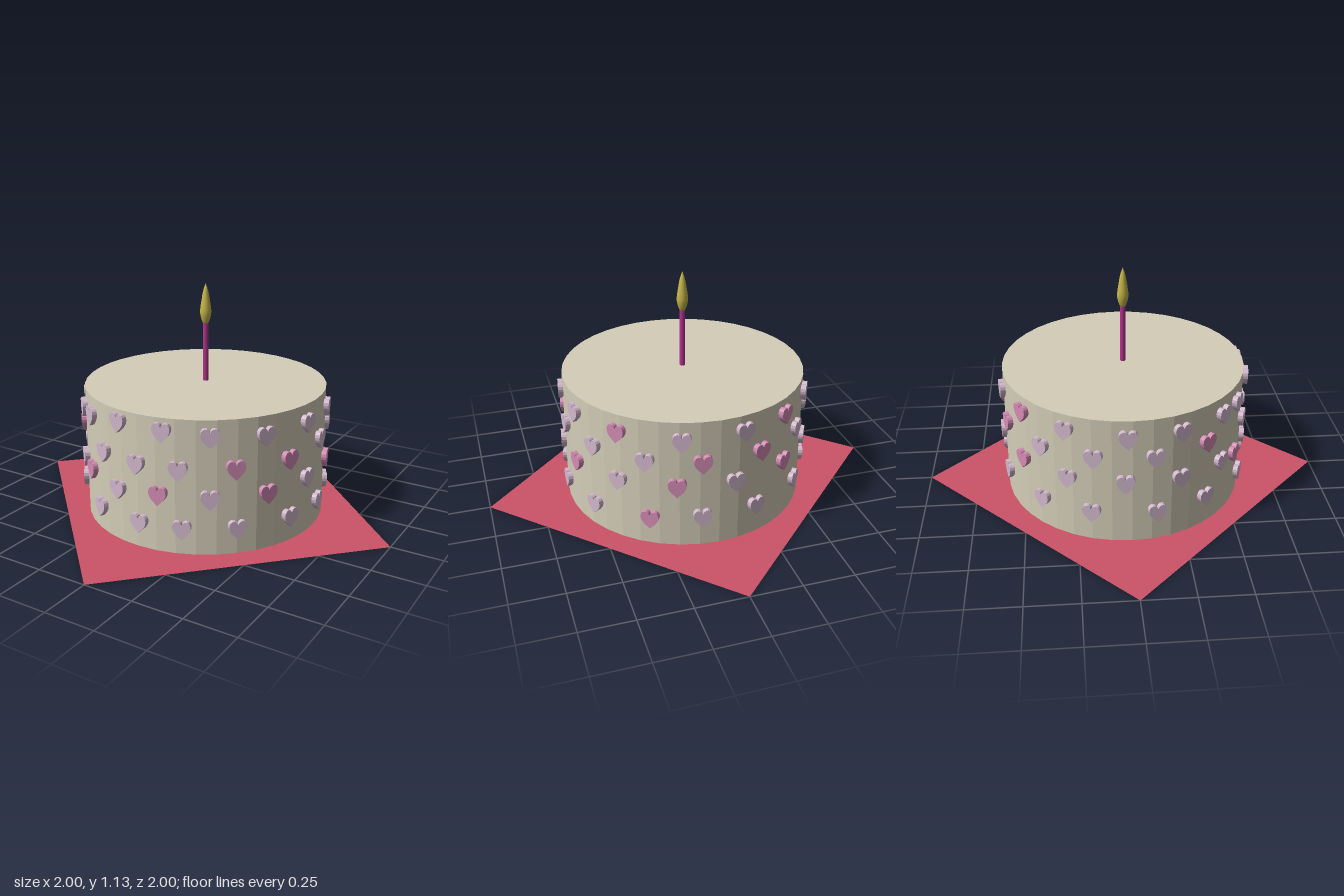
import * as THREE from 'three';

const CAKE_RADIUS = 0.595;
const CAKE_HEIGHT = 0.65;

function part(name, geometry, color, options = {}) {
  const mesh = new THREE.Mesh(geometry, new THREE.MeshStandardMaterial({ color, ...options }));
  mesh.name = name;
  return mesh;
}

// Heart outline about 0.086 wide and 0.09 tall, centred on the origin
function heartGeometry() {
  const s = new THREE.Shape();
  s.moveTo(0, -0.045);
  s.bezierCurveTo(0.012, -0.03, 0.043, -0.012, 0.043, 0.018);
  s.bezierCurveTo(0.043, 0.053, 0.005, 0.054, 0, 0.027);
  s.bezierCurveTo(-0.005, 0.054, -0.043, 0.053, -0.043, 0.018);
  s.bezierCurveTo(-0.043, -0.012, -0.012, -0.03, 0, -0.045);
  return new THREE.ExtrudeGeometry(s, { depth: 0.04, bevelEnabled: false, curveSegments: 6 });
}

// Rows of hearts: [angle from the front in degrees, height, 1 if pink]
const HEART_ROWS = [
  [[-68, 0.56], [-44, 0.56], [-31, 0.56], [-9.5, 0.59], [12.5, 0.585], [33, 0.57], [57.5, 0.555],
    [82, 0.56], [107, 0.56], [134, 0.56, 1], [163, 0.555], [191, 0.57], [215, 0.57, 1], [240, 0.57], [268, 0.56]],
  [[-54, 0.455, 1], [-20, 0.415], [0, 0.41], [19.5, 0.41], [44, 0.415, 1], [70.5, 0.415, 1], [95, 0.44],
    [120, 0.44], [147, 0.44], [172, 0.44, 1], [200, 0.44, 1], [227, 0.44], [253, 0.45], [280, 0.45]],
  [[-68, 0.315], [-44, 0.305], [-32, 0.285, 1], [-10.5, 0.26], [10.5, 0.28, 1], [33, 0.275], [59, 0.275, 1],
    [83, 0.285], [107, 0.295, 1], [134, 0.31], [161, 0.32, 1], [187, 0.32], [215, 0.32, 1], [241, 0.32], [267, 0.325]],
  [[-54, 0.155], [-23.5, 0.125], [1, 0.125], [21, 0.125], [45, 0.125], [71.5, 0.125], [94, 0.125],
    [120, 0.125], [149, 0.14, 1], [172, 0.155], [198, 0.155], [227, 0.155], [252, 0.155], [281, 0.155]],
];

export function createModel() {
  const model = new THREE.Group();
  model.name = 'birthdayCake';

  // Flat square cloth, turned so its corners lie on the axes
  const cloth = part('cloth', new THREE.CircleGeometry(1, 4).rotateX(-Math.PI / 2), 0xcc5468, { side: THREE.DoubleSide });
  model.add(cloth);

  // Faceted cake body, just above the cloth
  const cake = part('cake', new THREE.CylinderGeometry(CAKE_RADIUS, CAKE_RADIUS, CAKE_HEIGHT - 0.002, 40), 0xd4cdb8, { flatShading: true });
  cake.position.y = CAKE_HEIGHT / 2 + 0.001;
  model.add(cake);

  // Heart decorations around the side
  const hearts = new THREE.Group();
  hearts.name = 'hearts';
  const geometry = heartGeometry();
  for (const row of HEART_ROWS) {
    for (const [degrees, y, pink] of row) {
      const a = THREE.MathUtils.degToRad(degrees);
      const heart = part('heart', geometry, pink ? 0xd48cb4 : 0xd2b8cc, { flatShading: true });
      const r = CAKE_RADIUS - 0.018;
      heart.position.set(Math.sin(a) * r, y, Math.cos(a) * r);
      heart.rotation.y = a;
      hearts.add(heart);
    }
  }
  model.add(hearts);

  // Candle
  const candle = part('candle', new THREE.CylinderGeometry(0.013, 0.013, 0.3, 16), 0xb0328c);
  candle.position.y = CAKE_HEIGHT + 0.14;
  model.add(candle);

  // Teardrop flame
  const profile = new THREE.SplineCurve([
    [0, 0.935], [0.014, 0.942], [0.025, 0.975], [0.027, 1.005], [0.021, 1.05], [0.012, 1.1], [0, 1.135],
  ].map(([x, y]) => new THREE.Vector2(x, y)));
  const points = profile.getPoints(24);
  points.forEach((p) => { p.x = Math.max(p.x, 0); });
  model.add(part('flame', new THREE.LatheGeometry(points, 20), 0xc4b448));

  return model;
}
